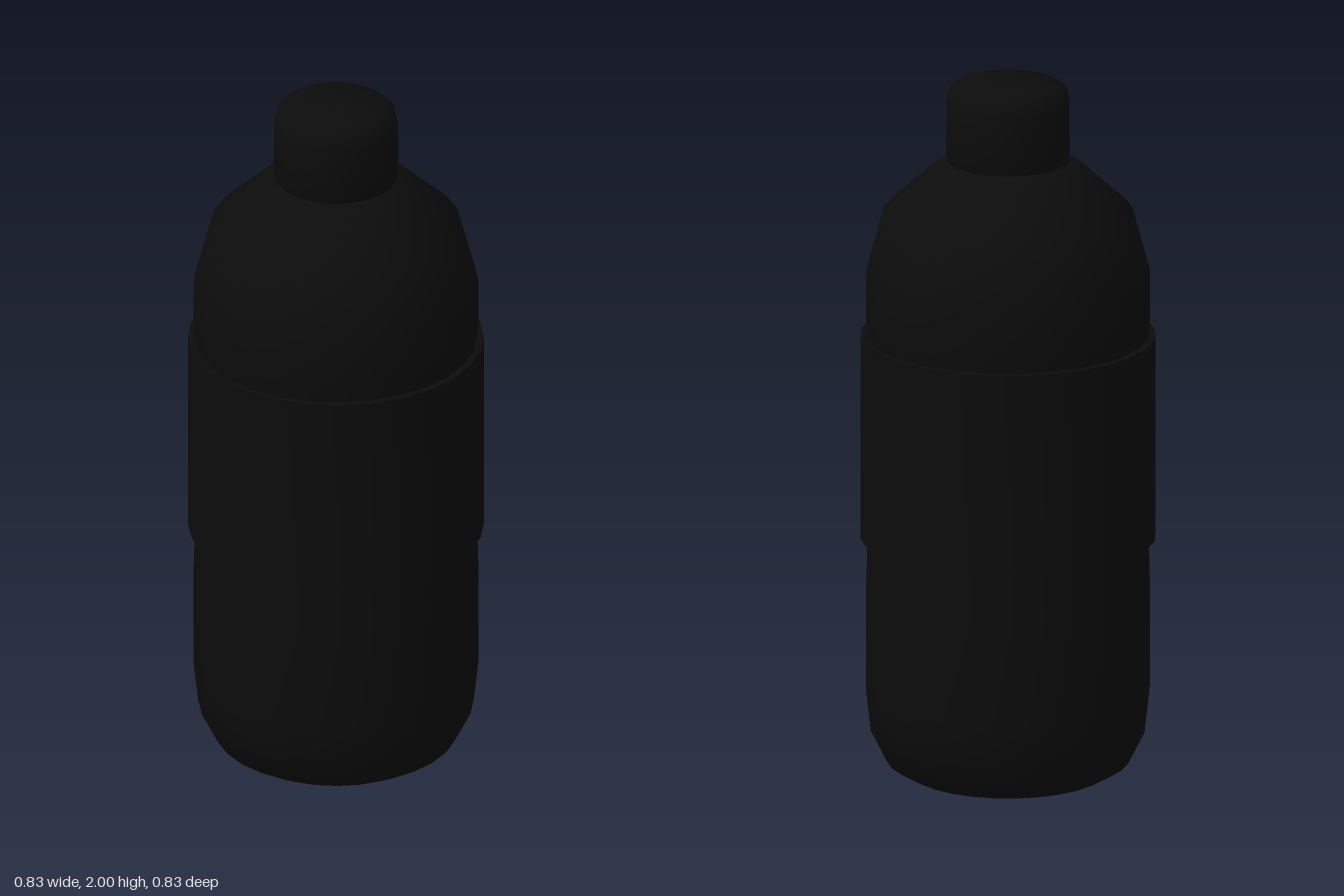
import * as THREE from 'three';
import { toCreasedNormals } from 'three/addons/utils/BufferGeometryUtils.js';

const SEGMENTS = 28;

// Turned part from [radius, height] pairs, listed from bottom to top
function turned(name, profile, color) {
  const points = profile.map(([r, y]) => new THREE.Vector2(r, y));
  const geometry = toCreasedNormals(new THREE.LatheGeometry(points, SEGMENTS), 0.75);
  const mesh = new THREE.Mesh(geometry, new THREE.MeshStandardMaterial({ color }));
  mesh.name = name;
  return mesh;
}

export function createModel() {
  const bottle = new THREE.Group();
  bottle.name = 'bottle';

  // Body with rounded foot, slight waist under the sleeve and sloping shoulder
  bottle.add(turned('body', [
    [0, 0], [0.28, 0], [0.34, 0.035], [0.385, 0.125], [0.398, 0.24],
    [0.398, 0.55], [0.394, 0.69], [0.394, 1.27], [0.398, 1.29],
    [0.398, 1.45], [0.35, 1.63], [0.215, 1.755], [0.165, 1.785], [0, 1.785],
  ], 0x0c0c0c));

  // Sleeve around the middle, closed in to the body at both ends
  bottle.add(turned('labelSleeve', [
    [0.39, 0.685], [0.414, 0.685], [0.414, 1.272], [0.39, 1.272],
  ], 0x0c0c0c));

  // Screw cap with a bevelled top edge
  bottle.add(turned('cap', [
    [0, 1.772], [0.166, 1.772], [0.173, 1.785], [0.173, 1.95],
    [0.165, 1.985], [0.146, 2], [0, 2],
  ], 0x0c0c0c));

  return bottle;
}
